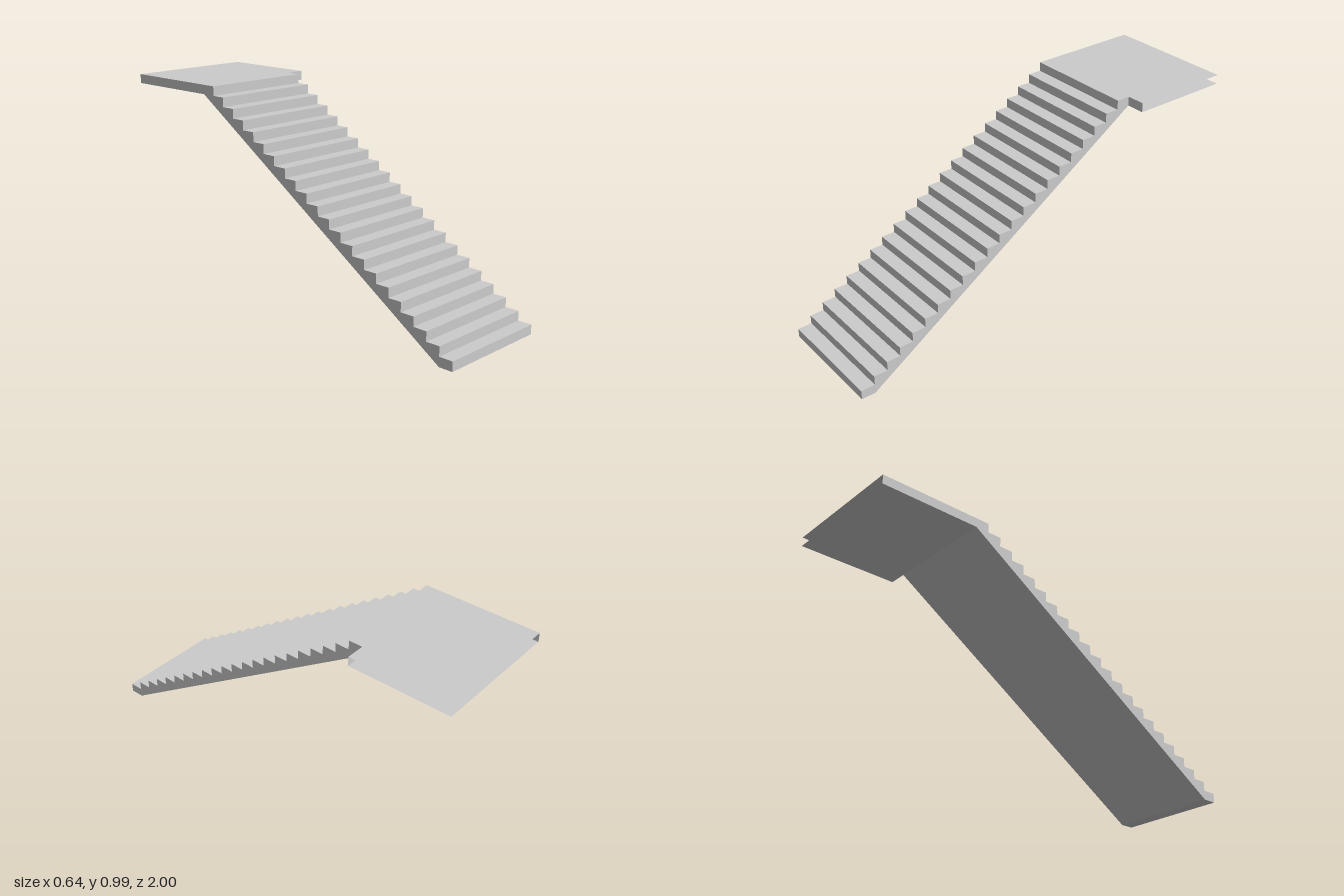
import * as THREE from 'three';

const STEPS = 22, RISE = 0.985 / STEPS, RUN = 1.503 / STEPS;
const LEFT = 0.32, RIGHT = -0.32, STAIR_LEFT = 0.23;
const TOP = STEPS * RISE, UNDER = TOP - RISE, EDGE = 1 - STEPS * RUN, BACK = -1;

const material = new THREE.MeshStandardMaterial({ color: 0xcccccc, side: THREE.DoubleSide });

// Sweeps a path of [z, y] points across x, with a hard crease at each point
function ribbon(name, path, x0, x1) {
  const pos = [];
  for (let i = 0; i < path.length - 1; i++) {
    const [z0, y0] = path[i], [z1, y1] = path[i + 1];
    pos.push(x0, y0, z0, x1, y0, z0, x1, y1, z1);
    pos.push(x0, y0, z0, x1, y1, z1, x0, y1, z1);
  }
  const geo = new THREE.BufferGeometry();
  geo.setAttribute('position', new THREE.Float32BufferAttribute(pos, 3));
  geo.computeVertexNormals();
  const mesh = new THREE.Mesh(geo, material);
  mesh.name = name;
  return mesh;
}

// Flat side wall filling an outline of [z, y] points; facing is +1 or -1 along x
function sideWall(name, outline, x, facing) {
  const shape = new THREE.Shape(outline.map(([z, y]) => new THREE.Vector2(-facing * z, y)));
  const geo = new THREE.ShapeGeometry(shape).rotateY(facing * Math.PI / 2);
  const mesh = new THREE.Mesh(geo, material);
  mesh.position.x = x;
  mesh.name = name;
  return mesh;
}

export function createModel() {
  const model = new THREE.Group();
  model.name = 'staircase';

  // Zigzag of risers and treads, climbing towards the back
  const zigzag = [];
  for (let i = 0; i < STEPS; i++) {
    const z = 1 - i * RUN;
    zigzag.push([z, i * RISE], [z, (i + 1) * RISE]);
  }
  zigzag.push([EDGE, TOP]);
  const foot = [1 - RUN, 0];

  // Stair flight with its sloping underside
  model.add(ribbon('steps', zigzag, RIGHT, STAIR_LEFT));
  model.add(ribbon('stairUnderside', [[EDGE, UNDER], foot, [1, 0]], RIGHT, STAIR_LEFT));
  const flight = [...zigzag, [EDGE, UNDER], foot];
  model.add(sideWall('stairLeftSide', flight, STAIR_LEFT, 1));
  model.add(sideWall('stairRightSide', flight, RIGHT, -1));

  // Landing, open at the back and on its left
  model.add(ribbon('landingTop', [[EDGE, TOP], [BACK, TOP]], RIGHT, LEFT));
  model.add(ribbon('landingUnderside', [[BACK, UNDER], [EDGE, UNDER]], RIGHT, LEFT));
  model.add(ribbon('landingFrontEdge', [[EDGE, UNDER], [EDGE, TOP]], STAIR_LEFT, LEFT));
  const slab = [[EDGE, UNDER], [EDGE, TOP], [BACK, TOP], [BACK, UNDER]];
  model.add(sideWall('landingRightSide', slab, RIGHT, -1));

  return model;
}
